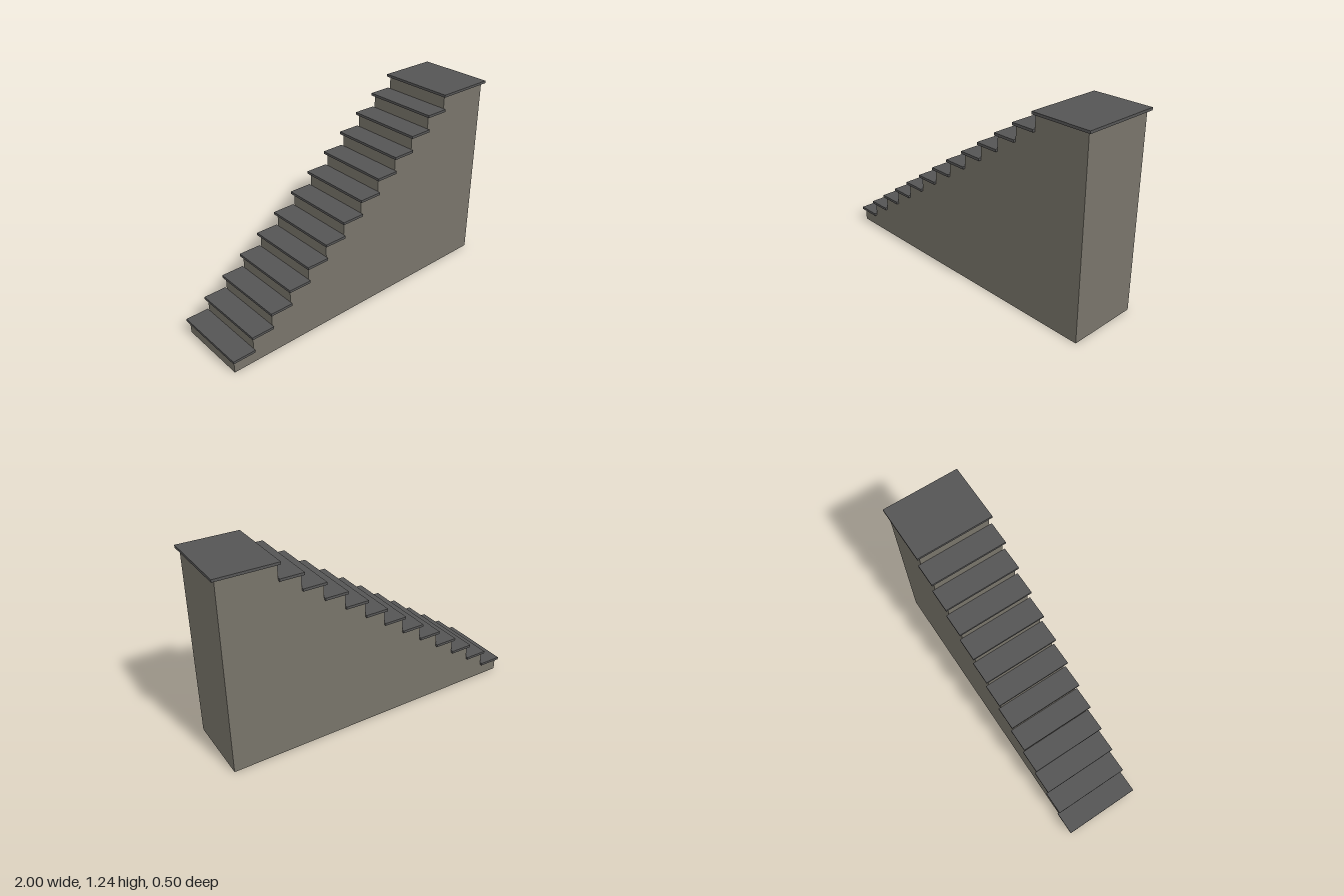
import * as THREE from 'three';

export function createModel() {
  const group = new THREE.Group();
  const stone = new THREE.MeshStandardMaterial({ color: 0x78746a });
  const slate = new THREE.MeshStandardMaterial({ color: 0x555555 });

  const steps = 12, run = 0.135, rise = 0.095, slab = 0.016;
  const firstRiser = -0.987, backX = 0.98, lip = 0.013;
  const bodyWidth = 0.462, slabWidth = 0.496;
  const riserX = (i) => firstRiser + i * run;
  const topY = (i) => (i + 1) * rise;

  // Solid stepped body: side profile extruded across the width
  const profile = new THREE.Shape();
  profile.moveTo(firstRiser, 0);
  profile.lineTo(backX, 0);
  profile.lineTo(backX, topY(steps) - slab);
  for (let i = steps; i >= 0; i--) {
    profile.lineTo(riserX(i), topY(i) - slab);
    if (i > 0) profile.lineTo(riserX(i), topY(i - 1) - slab);
  }
  profile.closePath();
  const bodyGeometry = new THREE.ExtrudeGeometry(profile, { depth: bodyWidth, bevelEnabled: false });
  bodyGeometry.translate(0, 0, -bodyWidth / 2);
  const body = new THREE.Mesh(bodyGeometry, stone);
  body.name = 'stairBody';
  group.add(body);

  // Overhanging slabs: one per step, plus the long landing
  for (let i = 0; i <= steps; i++) {
    const start = riserX(i) - lip;
    const end = i < steps ? riserX(i + 1) : 1;
    const tread = new THREE.Mesh(new THREE.BoxGeometry(end - start, slab, slabWidth), slate);
    tread.position.set((start + end) / 2, topY(i) - slab / 2, 0);
    tread.name = i < steps ? `tread${i + 1}` : 'landing';
    group.add(tread);
  }
  return group;
}
